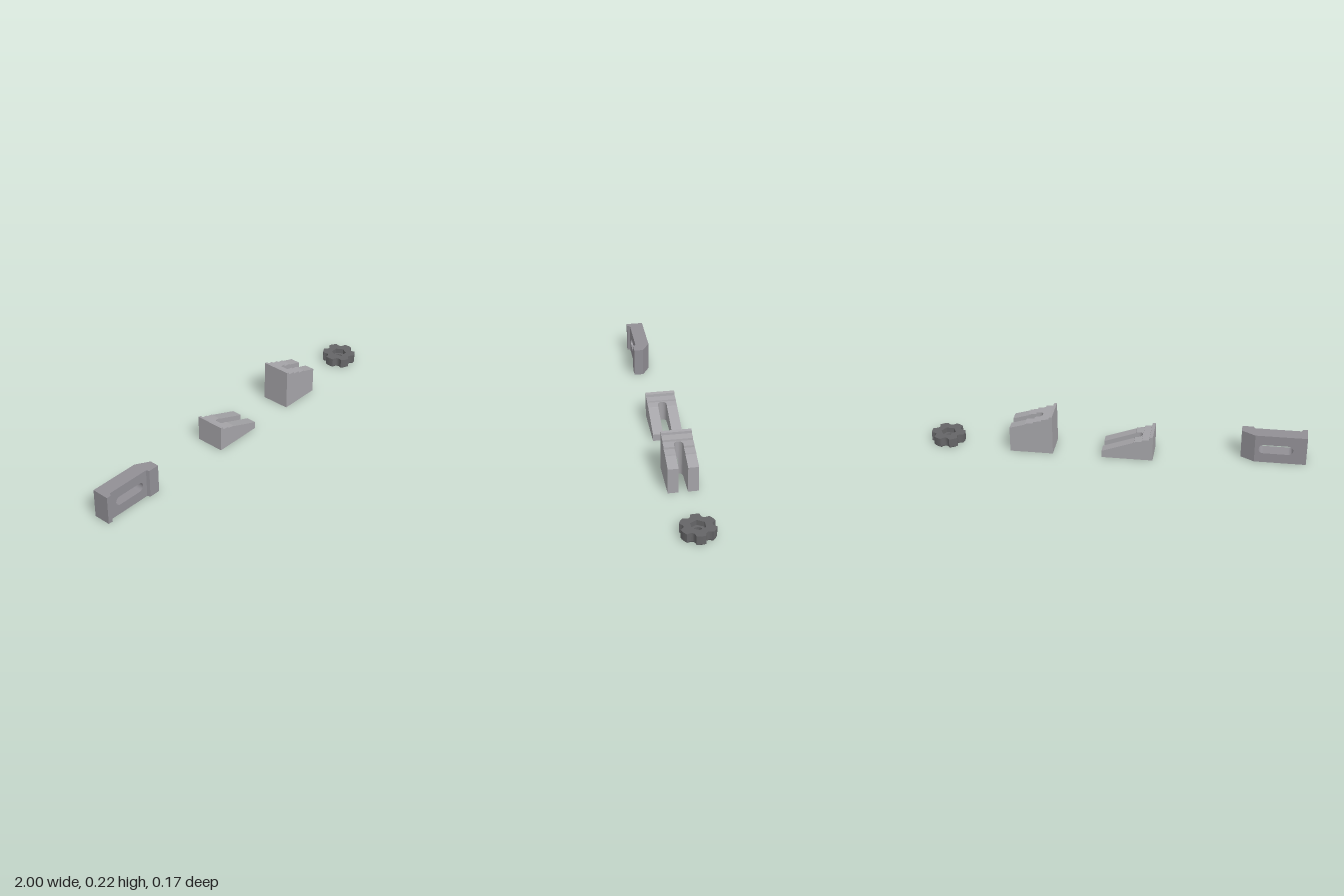
import * as THREE from 'three';

const makeMaterial = (color) => new THREE.MeshStandardMaterial({ color, flatShading: true });
const clampMaterial = makeMaterial(0x918f95);
const blockMaterial = makeMaterial(0xa5a4a8);
const knobMaterial = makeMaterial(0x656567);

function addMesh(parent, geometry, material, name) {
  const mesh = new THREE.Mesh(geometry, material);
  mesh.name = name;
  parent.add(mesh);
}

function polygon(points) {
  return new THREE.Shape(points.map(([x, y]) => new THREE.Vector2(x, y)));
}

// Extrude a plan outline, given as (x, -z), upward from y0 to y1
function extrudeUp(shape, y0, y1) {
  const g = new THREE.ExtrudeGeometry(shape, { depth: y1 - y0, bevelEnabled: false, curveSegments: 8 });
  return g.rotateX(-Math.PI / 2).translate(0, y0, 0);
}

// Clamp bar: slotted plate, heel foot and chamfered nose foot
function createClamp() {
  const group = new THREE.Group();
  group.name = 'clampBar';
  const H = 0.157, back = -0.005, recess = 0.071, front = 0.087;
  const x0 = -0.967, x1 = -0.73, end = -0.658;

  const plate = polygon([[x0, 0], [x1, 0], [x1, H], [x0, H]]);
  const slot = new THREE.Path();
  const r = 0.025, cy = H / 2;
  slot.absarc(-0.905, cy, r, Math.PI / 2, Math.PI * 1.5, false);
  slot.absarc(-0.775, cy, r, -Math.PI / 2, Math.PI / 2, false);
  slot.closePath();
  plate.holes.push(slot);
  const plateGeo = new THREE.ExtrudeGeometry(plate, { depth: recess - back, bevelEnabled: false, curveSegments: 10 });
  addMesh(group, plateGeo.translate(0, 0, back), clampMaterial, 'slottedPlate');

  const heel = polygon([[-1, -front], [-0.974, -front], [x0, -recess], [x0, -back], [-1, -back]]);
  addMesh(group, extrudeUp(heel, 0, H), clampMaterial, 'heelFoot');
  const nose = polygon([[x1, -recess], [-0.725, -recess], [-0.718, -front], [end, -front], [end, -0.037], [x1, -back]]);
  addMesh(group, extrudeUp(nose, 0, H), clampMaterial, 'noseFoot');
  return group;
}

// Step block: a stepped profile lofted along x, with an open-ended vertical slot
function createStepBlock(profile, slotStart) {
  const cz = 0.0095, halfWidth = 0.0778, r = 0.0235;
  const heightAt = (x) => {
    const i = profile.findIndex((p) => p[0] > x);
    const [a, b] = [profile[i - 1], profile[i]];
    return a[1] + (b[1] - a[1]) * (x - a[0]) / (b[0] - a[0]);
  };
  const slotAt = (x) => {
    const d = x - slotStart;
    if (d <= 0) return 0;
    return d >= r ? r : Math.sqrt(r * r - (r - d) ** 2);
  };

  // Profile stations plus extra ones around the rounded slot end
  const stations = profile.map((p) => [...p]);
  for (let k = 0; k <= 8; k++) {
    const x = slotStart + r * (1 - Math.cos(k * Math.PI / 16)) + 1e-6;
    stations.push([x, heightAt(x)]);
  }
  stations.sort((a, b) => a[0] - b[0]);

  const pos = [];
  for (const s of [1, -1]) {
    const sections = stations.map(([x, h]) => {
      const zi = cz + s * slotAt(x), zo = cz + s * halfWidth;
      return [[x, 0, zi], [x, 0, zo], [x, h, zo], [x, h, zi]];
    });
    const tri = (a, b, c) => pos.push(...(s > 0 ? [a, b, c] : [a, c, b]).flat());
    const quad = (a, b, c, d) => { tri(a, b, c); tri(a, c, d); };
    for (let i = 0; i + 1 < sections.length; i++) {
      const p = sections[i], q = sections[i + 1];
      for (let e = 0; e < 4; e++) {
        // The two halves join where there is no slot
        if (e === 3 && stations[i + 1][0] <= slotStart + 2e-6) continue;
        const f = (e + 1) % 4;
        quad(p[e], q[e], q[f], p[f]);
      }
    }
    quad(...sections[0]);
    quad(...[...sections[sections.length - 1]].reverse());
  }
  const g = new THREE.BufferGeometry();
  g.setAttribute('position', new THREE.Float32BufferAttribute(pos, 3));
  g.computeVertexNormals();
  return g;
}

// Knob outline: six lobes joined by rounded notches
function knobOutline() {
  const shape = new THREE.Shape();
  const R = 0.09, half = THREE.MathUtils.degToRad(15), pitch = Math.PI / 3, c = 0.051;
  shape.moveTo(R * Math.cos(half), -R * Math.sin(half));
  for (let i = 0; i < 6; i++) {
    const a = i * pitch, mid = a + pitch / 2, next = a + pitch - half;
    shape.absarc(0, 0, R, a - half, a + half, false);
    shape.quadraticCurveTo(c * Math.cos(mid), c * Math.sin(mid), R * Math.cos(next), R * Math.sin(next));
  }
  return shape;
}

function createKnob() {
  const group = new THREE.Group();
  group.name = 'knob';
  const boltHole = () => new THREE.Path().absarc(0, 0, 0.022, 0, Math.PI * 2, true);

  // Chamfered underside: draw in the outer vertices of the lowest layer
  const base = knobOutline();
  base.holes.push(boltHole());
  const baseGeo = extrudeUp(base, 0, 0.006);
  const p = baseGeo.attributes.position;
  for (let i = 0; i < p.count; i++) {
    if (p.getY(i) < 0.001 && Math.hypot(p.getX(i), p.getZ(i)) > 0.04) {
      p.setX(i, p.getX(i) * 0.93);
      p.setZ(i, p.getZ(i) * 0.93);
    }
  }
  baseGeo.computeVertexNormals();
  addMesh(group, baseGeo, knobMaterial, 'knobChamfer');

  const lower = knobOutline();
  lower.holes.push(boltHole());
  addMesh(group, extrudeUp(lower, 0.006, 0.025), knobMaterial, 'knobBody');

  // Upper layer with the hexagonal nut pocket
  const upper = knobOutline();
  const hex = [];
  for (let i = 0; i < 6; i++) {
    hex.push(new THREE.Vector2(0.04 * Math.cos(i * Math.PI / 3), 0.04 * Math.sin(i * Math.PI / 3)));
  }
  upper.holes.push(new THREE.Path(hex));
  addMesh(group, extrudeUp(upper, 0.025, 0.053), knobMaterial, 'nutPocket');
  group.position.x = 0.91;
  return group;
}

export function createModel() {
  const model = new THREE.Group();
  model.name = 'clampSet';
  model.add(createClamp());

  const low = [[-0.202, 0.14], [-0.185, 0.136], [-0.182, 0.122], [-0.145, 0.118], [-0.143, 0.11],
    [-0.103, 0.104], [-0.101, 0.1], [0.068, 0.038]];
  addMesh(model, createStepBlock(low, -0.142), blockMaterial, 'lowStepBlock');

  const tall = [[0.329, 0.221], [0.345, 0.218], [0.347, 0.206], [0.386, 0.201], [0.388, 0.191],
    [0.43, 0.186], [0.432, 0.176], [0.474, 0.171], [0.476, 0.165], [0.558, 0.14]];
  addMesh(model, createStepBlock(tall, 0.39), blockMaterial, 'tallStepBlock');

  model.add(createKnob());
  return model;
}
